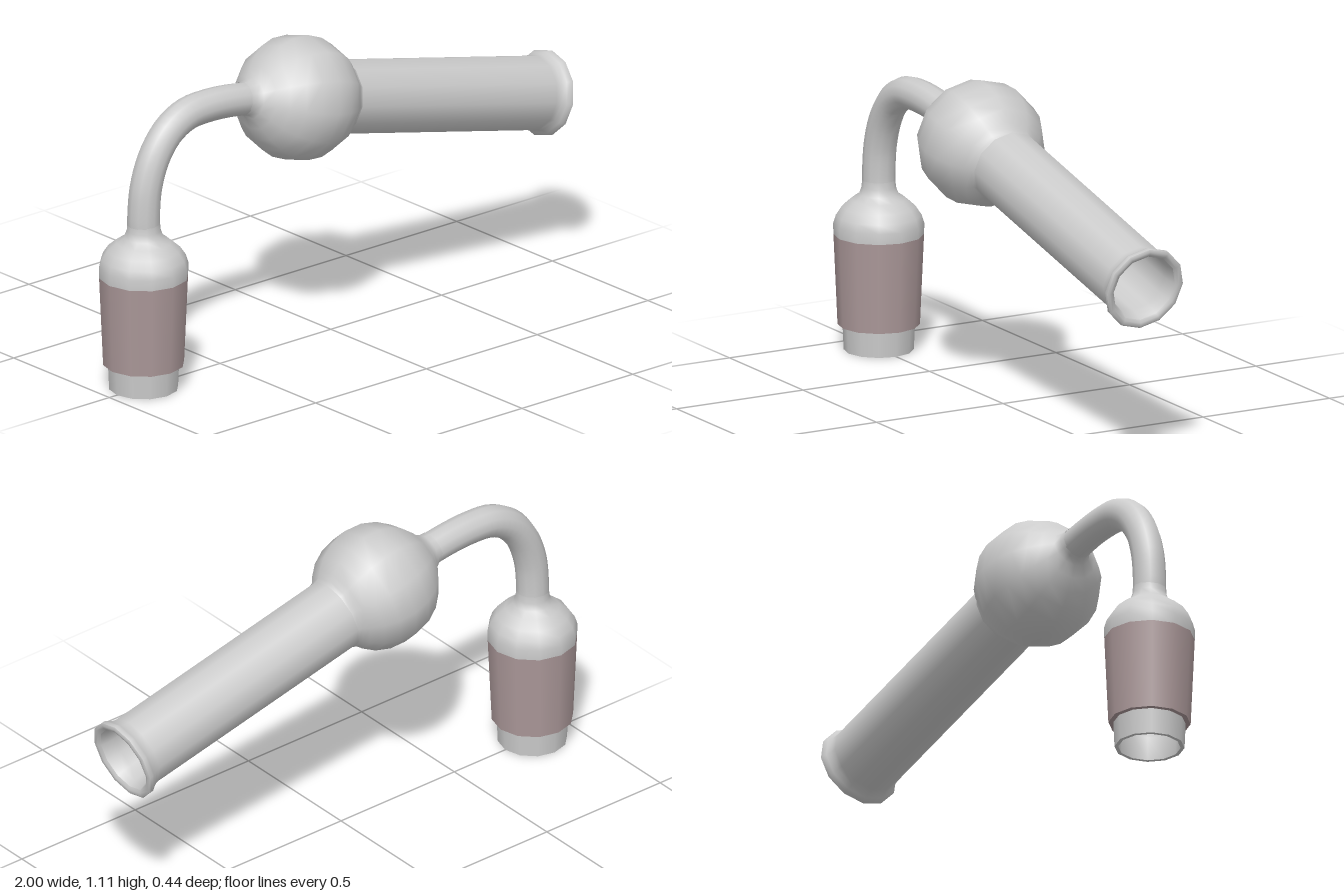
import * as THREE from 'three';

const SIDES = 12;
const glass = new THREE.MeshStandardMaterial({ color: 0xcccccc, side: THREE.DoubleSide });
const frosted = new THREE.MeshStandardMaterial({ color: 0xab9899, side: THREE.DoubleSide });

// Turned part from [radius, height] pairs; separate parts keep the edges between them sharp
function turned(name, profile, material = glass) {
  const points = profile.map(([r, h]) => new THREE.Vector2(r, h));
  const mesh = new THREE.Mesh(new THREE.LatheGeometry(points, SIDES), material);
  mesh.name = name;
  return mesh;
}

export function createModel() {
  const model = new THREE.Group();
  model.name = 'glassAdapter';

  // Upright tapered joint with frosted sleeve and open tip
  const joint = new THREE.Group();
  joint.name = 'joint';
  joint.position.x = -0.845;
  joint.add(
    turned('tipEdge', [[0.107, 0], [0.12, 0]]),
    turned('tip', [[0.12, 0], [0.124, 0.09]]),
    turned('sleeveStep', [[0.124, 0.09], [0.141, 0.09]], frosted),
    turned('sleeve', [[0.141, 0.09], [0.155, 0.408]], frosted),
    turned('shoulder', [[0.155, 0.408], [0.156, 0.445], [0.147, 0.475], [0.127, 0.505],
      [0.095, 0.532], [0.068, 0.55], [0.059, 0.575], [0.057, 0.6]]),
    turned('jointInside', [[0.044, 0.58], [0.055, 0.54], [0.085, 0.515], [0.12, 0.48],
      [0.136, 0.44], [0.135, 0.4], [0.122, 0.1], [0.107, 0.085], [0.107, 0]]),
  );
  model.add(joint);

  // Narrow bent tube from the joint to the bulb
  const path = new THREE.CatmullRomCurve3([
    [-0.845, 0.57], [-0.845, 0.63], [-0.834, 0.73], [-0.797, 0.83], [-0.735, 0.908],
    [-0.655, 0.95], [-0.565, 0.958], [-0.475, 0.953], [-0.39, 0.941],
  ].map(([x, y]) => new THREE.Vector3(x, y, 0)));
  const bend = new THREE.Mesh(new THREE.TubeGeometry(path, 28, 0.057, SIDES), glass);
  bend.name = 'bentTube';
  model.add(bend);

  // Bulb and wide tube share one axis sloping down to the right
  const arm = new THREE.Group();
  arm.name = 'arm';
  arm.position.set(-0.15, 0.886, 0);
  arm.rotation.z = -Math.PI / 2 - 0.23;
  arm.add(
    turned('bulb', [[0.057, -0.26], [0.06, -0.24], [0.072, -0.22], [0.108, -0.195],
      [0.148, -0.163], [0.185, -0.12], [0.21, -0.067], [0.221, 0], [0.211, 0.062],
      [0.187, 0.115], [0.156, 0.153], [0.137, 0.17], [0.131, 0.185]]),
    turned('wideTube', [[0.131, 0.185], [0.131, 1.085], [0.134, 1.105], [0.143, 1.122],
      [0.15, 1.132], [0.15, 1.145]]),
    turned('rim', [[0.15, 1.145], [0.142, 1.15], [0.13, 1.148], [0.121, 1.14]]),
    turned('armInside', [[0.121, 1.14], [0.113, 1.115], [0.11, 1.085], [0.11, 0.18],
      [0.14, 0.145], [0.178, 0.095], [0.2, 0], [0.178, -0.095], [0.13, -0.155],
      [0.07, -0.195], [0.045, -0.23]]),
  );
  model.add(arm);

  return model;
}
